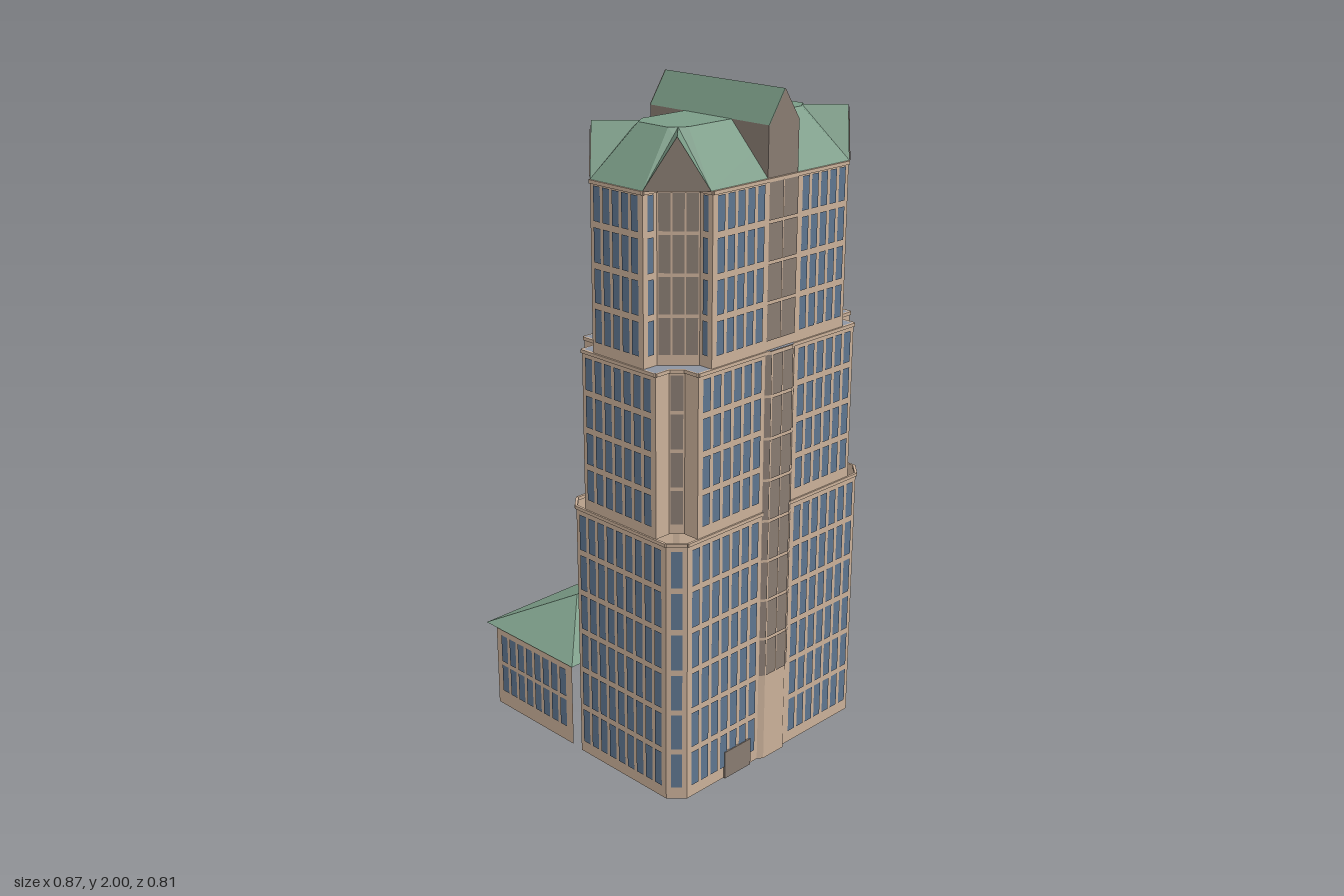
import * as THREE from 'three';
import { mergeGeometries } from 'three/addons/utils/BufferGeometryUtils.js';
import { ConvexGeometry } from 'three/addons/geometries/ConvexGeometry.js';

const mat = (name, color) => {
  const m = new THREE.MeshStandardMaterial({ color, side: THREE.DoubleSide });
  m.name = name;
  return m;
};

const CX = 0.195, HW = 0.225, D = 0.4;   // tower centre, half width, half depth
const BAY = 0.06;                        // half width of the central side strip
const V = (x, y, z) => new THREE.Vector3(x, y, z);

export function createModel() {
  const stone = mat('sandstone', 0xcbb19a);
  const glass = mat('blue glass', 0x5f7690);
  glass.side = THREE.FrontSide;
  const bronze = mat('brown grey panel', 0x897c72);
  const copper = mat('green copper', 0x7b9c87);
  const ledge = mat('grey ledge', 0x8d94a1);

  const model = new THREE.Group();
  model.name = 'tower';
  const add = (name, geo, material) => {
    const m = new THREE.Mesh(geo, material);
    m.name = name;
    model.add(m);
    return m;
  };

  // Collects flat pieces, then makes one mesh per material
  const collector = () => {
    const bins = new Map();
    return {
      put(material, geo) {
        if (!bins.has(material)) bins.set(material, []);
        bins.get(material).push(geo);
      },
      finish(name) {
        for (const [m, list] of bins) add(`${name} ${m.name}`, mergeGeometries(list), m);
      },
    };
  };

  // Place a geometry on the wall running from p to q; outward is to the right of travel
  const onWall = (geo, p, q, along, y, out) => {
    const dx = q[0] - p[0], dz = q[1] - p[1], L = Math.hypot(dx, dz);
    geo.rotateY(Math.atan2(-dz, dx));
    return geo.translate(p[0] + (dx * along - dz * out) / L, y, p[1] + (dz * along + dx * out) / L);
  };

  // Wall panel with an optional grid of windows
  const panel = (c, p, q, y0, y1, wall, win) => {
    const L = Math.hypot(q[0] - p[0], q[1] - p[1]);
    c.put(wall, onWall(new THREE.PlaneGeometry(L, y1 - y0), p, q, L / 2, (y0 + y1) / 2, 0));
    if (!win) return;
    const { material, rows, bottom, top } = win;
    const margin = win.margin ?? 0.01;
    const n = win.cols ?? Math.max(1, Math.round((L - 2 * margin) / 0.039));
    const pitch = (L - 2 * margin) / n, rowH = (top - bottom) / rows;
    const w = pitch * (win.fill ?? 0.72), h = rowH - (win.band ?? 0.017);
    for (let i = 0; i < n; i++) for (let j = 0; j < rows; j++) {
      c.put(material, onWall(new THREE.PlaneGeometry(w, h), p, q,
        margin + (i + 0.5) * pitch, bottom + (j + 0.5) * rowH, 0.003));
    }
  };

  // Mirror one corner path to the whole footprint
  const footprint = (corner) => {
    const rev = [...corner].reverse();
    return [
      ...corner,
      ...rev.map(([u, z]) => [u, -z]),
      ...corner.map(([u, z]) => [-u, -z]),
      ...rev.map(([u, z]) => [-u, z]),
    ].map(([u, z]) => [CX + u, z]);
  };
  const flat = (pts, y) => {
    const s = new THREE.Shape(pts.map(([x, z]) => new THREE.Vector2(x, -z)));
    return new THREE.ShapeGeometry(s).rotateX(-Math.PI / 2).translate(0, y, 0);
  };

  // Three stacked tiers with increasingly cut corners
  const tiers = [
    { name: 'lowerTier', y0: 0, y1: 0.81, rows: 6, bottom: 0.03, top: 0.795,
      corner: [[HW - 0.042, D], [HW, D - 0.042]] },
    { name: 'middleTier', y0: 0.81, y1: 1.29, rows: 4, bottom: 0.835, top: 1.278,
      corner: [[0.145, D], [0.145, 0.35], [0.175, 0.32], [HW, 0.32]] },
    { name: 'upperTier', y0: 1.29, y1: 1.77, rows: 4, bottom: 1.315, top: 1.765,
      corner: [[0.1, D], [0.1, 0.35], [0.18, 0.27], [HW, 0.27]] },
  ];
  tiers.forEach((t, k) => {
    const c = collector();
    const pts = footprint(t.corner);
    pts.forEach((p, i) => {
      const q = pts[(i + 1) % pts.length];
      const dx = q[0] - p[0], dz = q[1] - p[1], L = Math.hypot(dx, dz);
      const diagonal = Math.abs(dx) > 0.01 && Math.abs(dz) > 0.01;
      let win = { material: glass, rows: t.rows, bottom: t.bottom, top: t.top };
      if (diagonal && k === 0) win = { ...win, cols: 1, fill: 0.8 };
      if (diagonal && k > 0) win = { ...win, material: bronze, margin: 0.002, cols: k === 1 ? 1 : 3, fill: 0.88, band: 0.01 };
      if (!diagonal && L < 0.06) win = k === 2 ? { ...win, cols: 1 } : null;
      if (Math.abs(dx) < 0.001 && L > 0.3) {
        // long side, split around the central strip
        if (k === 0 && dz > 0) win = { ...win, rows: 4, bottom: t.bottom + (t.top - t.bottom) / 3 };
        const s = Math.sign(dz), a = [p[0], -s * BAY], b = [p[0], s * BAY];
        panel(c, p, a, t.y0, t.y1, stone, win);
        panel(c, b, q, t.y0, t.y1, stone, win);
        if (k === 2) panel(c, a, b, t.y0, t.y1, stone,
          { ...win, material: bronze, margin: 0.001, cols: 2, fill: 0.95, band: 0.008 });
      } else panel(c, p, q, t.y0, t.y1, stone, win);
      // thin cornice
      c.put(stone, onWall(new THREE.BoxGeometry(L, 0.01, 0.008), p, q, L / 2, t.y1 - 0.005, 0.001));
    });
    c.finish(t.name);
    if (k === 1) add('middleTierLedge', flat(pts, t.y1), ledge);
  });

  // Projecting bays up both sides
  for (const s of [1, -1]) {
    const c = collector();
    const pts = [[HW, BAY], [HW + 0.011, 0.043], [HW + 0.011, -0.043], [HW, -BAY]]
      .map(([u, z]) => [CX + s * u, s * z]);
    for (let i = 0; i < 3; i++) {
      panel(c, pts[i], pts[i + 1], 0, 0.28, stone);
      panel(c, pts[i], pts[i + 1], 0.28, 1.29, stone, { material: bronze, rows: 8, bottom: 0.28,
        top: 1.285, margin: 0, cols: i === 1 ? 2 : 1, fill: 0.94, band: 0.008 });
    }
    c.finish(s > 0 ? 'leftBay' : 'rightBay');
    add('bayLedge', flat(pts, 1.291), ledge);
  }

  // Side entrance
  add('entrance', new THREE.BoxGeometry(0.1, 0.088, 0.11).translate(CX + HW - 0.044, 0.044, 0.15), bronze);

  // Main roof: eight-sided frustum
  const EY = 1.77, RY = 1.91;
  const eave = footprint([[0.1, D], [HW - 0.002, 0.275]]);
  const deck = footprint([[0.056, 0.265], [0.088, 0.222]]);
  add('mainRoof', new ConvexGeometry([
    ...eave.map(([x, z]) => V(x, EY, z)), ...deck.map(([x, z]) => V(x, RY, z)),
  ]), copper);

  // Corner dormers with triangular gables
  for (const sx of [1, -1]) for (const sz of [1, -1]) {
    const P = (u, y, z) => V(CX + sx * u, y, sz * z);
    const a = P(0.1, EY, D), b = P(HW - 0.002, EY, 0.275), tip = P(0.162, RY, 0.337);
    add('dormerRoof', new ConvexGeometry([a, b, tip, P(0.07, RY, 0.242), P(0.072, EY, 0.243)]), copper);
    const face = new THREE.BufferGeometry().setFromPoints(sx * sz > 0 ? [a, b, tip] : [b, a, tip]);
    face.translate(sx * 0.002, 0, sz * 0.002);
    face.computeVertexNormals();
    add('dormerGable', face, bronze);
  }

  // Cross gable over the middle
  const GW = HW - 0.002;
  add('crossGableWalls', new THREE.BoxGeometry(2 * GW, RY - EY, 2 * BAY).translate(CX, (EY + RY) / 2, 0), bronze);
  const gable = [];
  for (const s of [1, -1]) {
    const x = CX + s * GW;
    gable.push(V(x, RY, BAY), V(x, RY, -BAY), V(x, 2, 0));
    const e = s * 0.002;
    const tri = [V(x + e, RY, s * BAY), V(x + e, RY, -s * BAY), V(x + e, 2, 0)];
    const g = new THREE.BufferGeometry().setFromPoints(tri);
    g.computeVertexNormals();
    add('crossGableEnd', g, bronze);
  }
  add('crossGableRoof', new ConvexGeometry(gable), copper);

  // Low side wing with cut outer corners
  const wing = collector();
  const X0 = -0.427, X1 = -0.03, Z = 0.396, C = 0.04, H = 0.268;
  const path = [[X1, -Z], [X0 + C, -Z], [X0, -Z + C], [X0, Z - C], [X0 + C, Z], [X1, Z]];
  path.slice(0, -1).forEach((p, i) => {
    const win = { material: glass, rows: 2, bottom: 0.045, top: 0.255, margin: 0.02,
      cols: i === 2 ? 16 : 8, band: 0.013 };
    panel(wing, p, path[i + 1], 0, H, stone, i % 2 ? null : win);
  });
  wing.finish('wing');

  // Hipped wing roof
  const RX = -0.227;
  add('wingRoof', new ConvexGeometry([
    V(-0.432, H, 0.4), V(-0.432, H, -0.4), V(-0.025, H, 0.4), V(-0.025, H, -0.4),
    V(RX, 0.368, 0.198), V(RX, 0.368, -0.198),
  ]), copper);

  return model;
}
